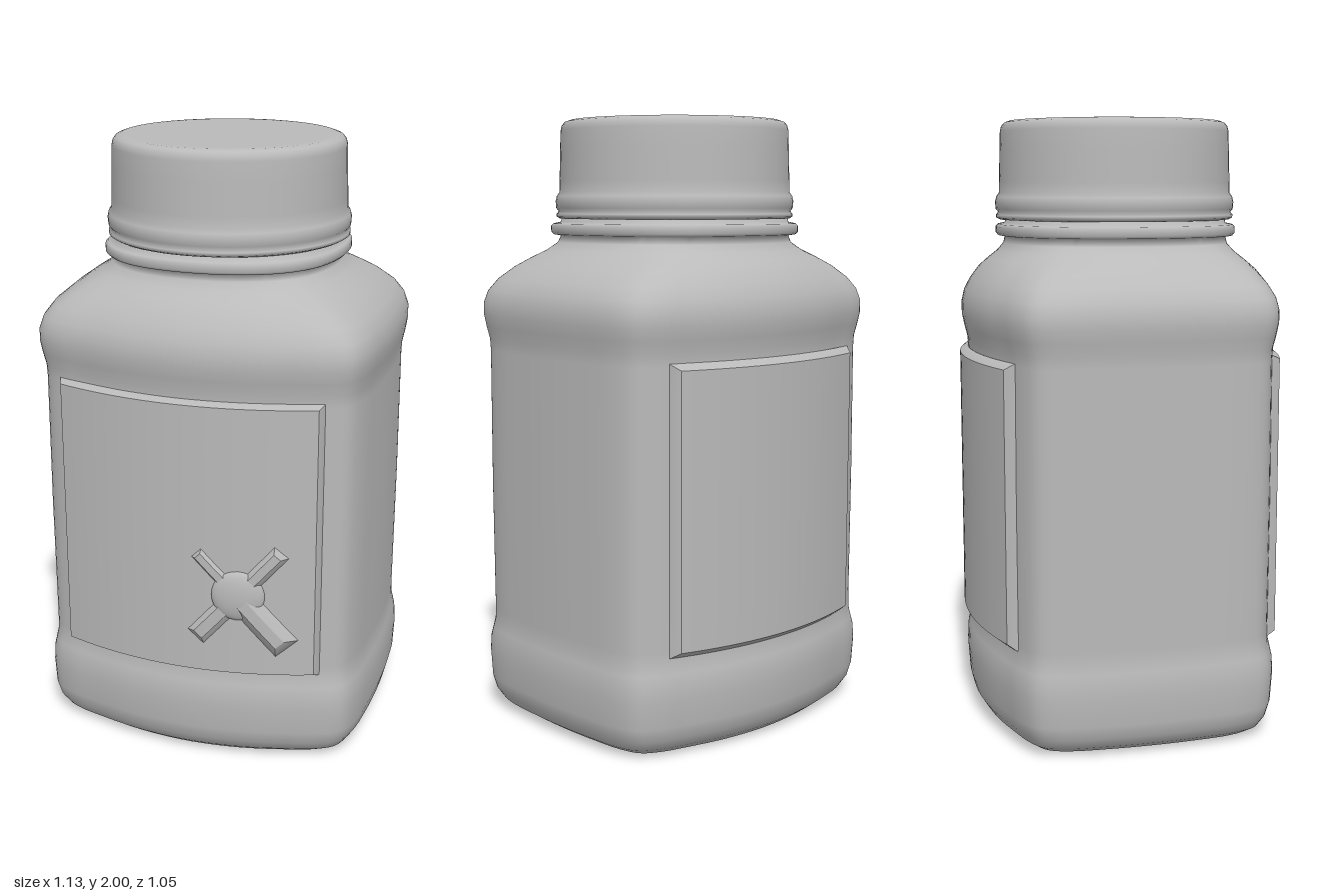
import * as THREE from 'three';

const plastic = new THREE.MeshStandardMaterial({ color: 0xbababa });
plastic.name = 'grey plastic';

function part(name, geometry, parent) {
  const mesh = new THREE.Mesh(geometry, plastic);
  mesh.name = name;
  parent.add(mesh);
  return mesh;
}

// Bowed rectangle outline, mirrored from one quarter and scaled to unit half sizes
function bottleOutline() {
  const quarter = [[0, 0.51], [0.2, 0.492], [0.36, 0.453], [0.45, 0.425],
    [0.515, 0.385], [0.545, 0.31], [0.56, 0.16], [0.565, 0]];
  const back = quarter.slice(0, -1).reverse().map(([x, z]) => [x, -z]);
  const half = [...quarter, ...back];
  const left = half.slice(1, -1).reverse().map(([x, z]) => [-x, z]);
  const points = [...half, ...left].map(([x, z]) => new THREE.Vector3(x / 0.565, 0, z / 0.51));
  return new THREE.CatmullRomCurve3(points, true).getPoints(112).slice(0, -1);
}

// Loft of rows [y, half width, half depth, roundness]
function loft(rows) {
  const outline = bottleOutline();
  const n = outline.length;
  const positions = [];
  const index = [];
  rows.forEach(([y, hx, hz, round], r) => {
    outline.forEach((p, i) => {
      const a = Math.atan2(p.x, p.z);
      const k = 1 + 0.05 * Math.sin(2 * a) ** 2;
      const x = THREE.MathUtils.lerp(p.x, k * Math.sin(a), round);
      const z = THREE.MathUtils.lerp(p.z, k * Math.cos(a), round);
      positions.push(x * hx, y, z * hz - 0.005);
      if (r === 0) return;
      const j = (i + 1) % n;
      const lo = (r - 1) * n;
      const hi = r * n;
      index.push(lo + i, lo + j, hi + j, lo + i, hi + j, hi + i);
    });
  });
  const geometry = new THREE.BufferGeometry();
  geometry.setAttribute('position', new THREE.Float32BufferAttribute(positions, 3));
  geometry.setIndex(index);
  geometry.computeVertexNormals();
  return geometry;
}

// Wrap a flat geometry onto the bowed front face
function bend(geometry) {
  const p = geometry.attributes.position;
  for (let i = 0; i < p.count; i++) p.setZ(i, p.getZ(i) + 0.512 - 0.43 * p.getX(i) ** 2);
  geometry.computeVertexNormals();
  return geometry;
}

// Plate whose outer face is shrunk by a bevel; outer face lies at z = height
function plate(width, length, depth, height, bevel) {
  const geometry = new THREE.BoxGeometry(width, length, depth, 24, 8, 2);
  const p = geometry.attributes.position;
  for (let i = 0; i < p.count; i++) {
    if (p.getZ(i) < depth / 4) continue;
    p.setX(i, p.getX(i) * (1 - 2 * bevel / width));
    p.setY(i, p.getY(i) * (1 - 2 * bevel / length));
  }
  return geometry.translate(0, 0, height - depth / 2);
}

export function createModel() {
  const model = new THREE.Group();
  model.name = 'bottle';

  // Body with recessed waist, shoulders, neck and neck ring
  part('body', loft([
    [0.012, 0, 0, 0], [0.005, 0.42, 0.38, 0], [0, 0.46, 0.41, 0], [0.008, 0.495, 0.44, 0],
    [0.03, 0.528, 0.468, 0], [0.065, 0.55, 0.49, 0], [0.11, 0.561, 0.502, 0],
    [0.2, 0.565, 0.508, 0], [0.25, 0.562, 0.506, 0], [0.28, 0.556, 0.499, 0],
    [0.31, 0.55, 0.492, 0], [0.35, 0.549, 0.49, 0], [0.8, 0.551, 0.491, 0],
    [1.24, 0.549, 0.49, 0], [1.28, 0.551, 0.492, 0], [1.32, 0.559, 0.502, 0],
    [1.36, 0.565, 0.51, 0], [1.4, 0.565, 0.51, 0], [1.44, 0.553, 0.501, 0.03],
    [1.48, 0.527, 0.48, 0.12], [1.52, 0.482, 0.452, 0.3], [1.55, 0.44, 0.42, 0.52],
    [1.575, 0.4, 0.39, 0.75], [1.6, 0.37, 0.37, 0.92], [1.622, 0.365, 0.365, 1],
    [1.626, 0.388, 0.388, 1], [1.634, 0.396, 0.395, 1], [1.654, 0.396, 0.395, 1],
    [1.662, 0.388, 0.388, 1], [1.667, 0.365, 0.365, 1], [1.72, 0.35, 0.35, 1],
  ]), model);

  // Screw cap with a beaded skirt
  const capProfile = [
    [0.34, 1.678], [0.385, 1.678], [0.396, 1.684], [0.396, 1.694], [0.389, 1.702],
    [0.397, 1.712], [0.399, 1.735], [0.395, 1.752], [0.386, 1.765], [0.385, 1.8],
    [0.382, 1.9], [0.38, 1.965], [0.376, 1.982], [0.367, 1.993], [0.35, 1.999], [0.33, 2], [0, 2],
  ].map(([r, y]) => new THREE.Vector2(r, y));
  part('cap', new THREE.LatheGeometry(capProfile, 72), model).position.z = -0.005;

  // Raised label panels on front and back
  part('frontLabelPanel', bend(plate(0.88, 0.93, 0.05, 0, 0.012).translate(0, 0.79, 0)), model);
  const backPanel = part('backLabelPanel',
    bend(plate(0.82, 0.92, 0.05, 0.01, 0.02).translate(0, 0.79, 0)), model);
  backPanel.rotation.y = Math.PI;

  // Embossed cross: tapered arms around a soft centre
  const cross = new THREE.Group();
  cross.name = 'embossedCross';
  model.add(cross);
  const arms = [
    // end x, end y, width, raised height
    [0.345, 0.435, 0.09, 0.022], [0.33, 0.775, 0.07, 0.014],
    [0.05, 0.76, 0.06, 0.01], [0.045, 0.45, 0.09, 0.012],
  ];
  const cx = 0.19;
  const cy = 0.615;
  for (const [x, y, width, height] of arms) {
    const dx = x - cx;
    const dy = y - cy;
    const arm = plate(width, Math.hypot(dx, dy), 0.04, height, width * 0.3);
    arm.rotateZ(Math.atan2(-dx, dy)).translate((x + cx) / 2, (y + cy) / 2, 0);
    part('crossArm', bend(arm), cross);
  }
  const centre = new THREE.SphereGeometry(1, 32, 16).scale(0.085, 0.085, 0.024);
  part('crossCentre', bend(centre.translate(cx, cy, 0)), cross);

  return model;
}
